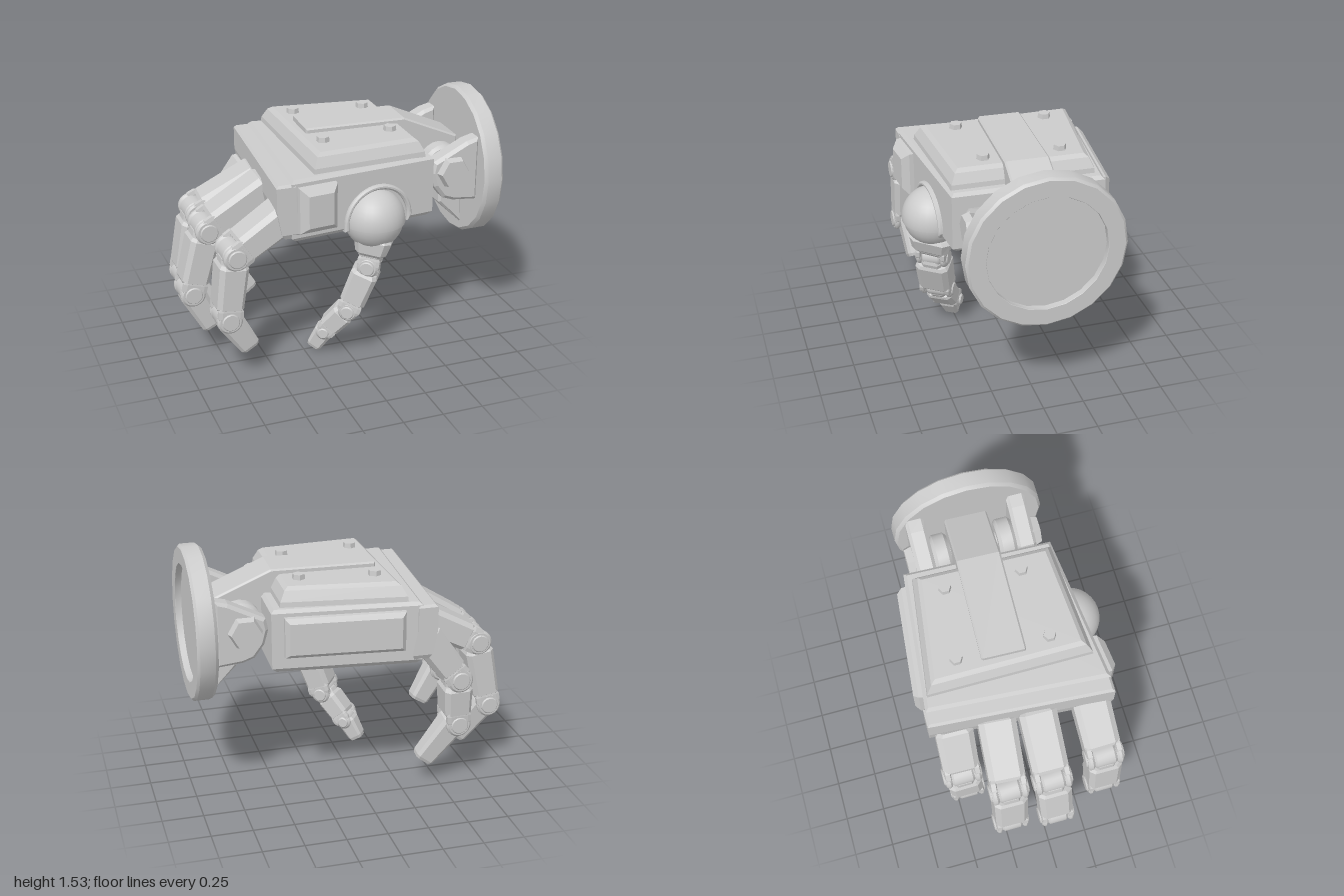
import * as THREE from 'three';
import { toCreasedNormals } from 'three/addons/utils/BufferGeometryUtils.js';

const V = (x, y, z) => new THREE.Vector3(x, y, z);
const flat = new THREE.MeshStandardMaterial({ color: 0xcccccc, flatShading: true });
const smooth = new THREE.MeshStandardMaterial({ color: 0xcccccc });

function add(parent, name, geo, mat = flat, pos) {
  const m = new THREE.Mesh(geo, mat);
  m.name = name;
  if (pos) m.position.copy(pos);
  parent.add(m);
  return m;
}

// Skin over a stack of rings, each counter-clockwise about the stacking direction
function loft(rings) {
  const out = [], n = rings[0].length;
  const tri = (...ps) => ps.forEach(p => out.push(p.x, p.y, p.z));
  for (let k = 0; k < rings.length - 1; k++) {
    const lo = rings[k], up = rings[k + 1];
    for (let i = 0; i < n; i++) {
      const j = (i + 1) % n;
      tri(lo[i], lo[j], up[j]);
      tri(lo[i], up[j], up[i]);
    }
  }
  const top = rings[rings.length - 1], bot = rings[0];
  for (let i = 1; i < n - 1; i++) {
    tri(top[0], top[i], top[i + 1]);
    tri(bot[0], bot[i + 1], bot[i]);
  }
  const g = new THREE.BufferGeometry();
  g.setAttribute('position', new THREE.Float32BufferAttribute(out, 3));
  g.computeVertexNormals();
  return g;
}

// Convex plan of [x, z] corners (counter-clockwise from above) with levels [y, inset, shiftX]
function slab(plan, levels) {
  const n = plan.length;
  const edges = plan.map(([x, z], i) => {
    const [x2, z2] = plan[(i + 1) % n], l = Math.hypot(x2 - x, z2 - z);
    return [(z2 - z) / l, -(x2 - x) / l]; // inward normal
  });
  return loft(levels.map(([y, inset, sx = 0]) => plan.map(([x, z], i) => {
    const a = edges[(i + n - 1) % n], b = edges[i];
    const k = inset / (1 + a[0] * b[0] + a[1] * b[1]);
    return V(x + (a[0] + b[0]) * k + sx, y, z + (a[1] + b[1]) * k);
  })));
}

const rect = (w, h) => [[-w / 2, h / 2], [w / 2, h / 2], [w / 2, -h / 2], [-w / 2, -h / 2]];

// Chamfered bar from a to b, with a side axis and [width, thickness] at each end
function bar(a, b, side, sizeA, sizeB = sizeA, chamfer = 0.15) {
  const d = b.clone().sub(a), len = d.length();
  d.normalize();
  const s = side.clone().addScaledVector(d, -side.dot(d)).normalize();
  const n = d.clone().cross(s), q = 1 - 2 * chamfer, e = 0.02 / len;
  const oct = [[1, -q], [1, q], [q, 1], [-q, 1], [-1, q], [-1, -q], [-q, -1], [q, -1]];
  return loft([[0, 0.86], [e, 1], [1 - e, 1], [1, 0.86]].map(([t, k]) => {
    const w = THREE.MathUtils.lerp(sizeA[0], sizeB[0], t) * k / 2;
    const h = THREE.MathUtils.lerp(sizeA[1], sizeB[1], t) * k / 2;
    return oct.map(([u, v]) => a.clone().addScaledVector(d, t * len)
      .addScaledVector(s, u * w).addScaledVector(n, v * h));
  }));
}

// Round drum with bevelled rims, centred on the origin along y
function drum(r, w, bevel = 0.012, sides = 20) {
  const h = w / 2;
  const p = [[0, -h], [r - bevel, -h], [r, bevel - h], [r, h - bevel], [r - bevel, h], [0, h]];
  return toCreasedNormals(new THREE.LatheGeometry(p.map(a => new THREE.Vector2(...a)), sides), 0.6);
}

function place(parent, name, geo, mat, pos, axis) {
  const m = add(parent, name, geo, mat, pos);
  m.quaternion.setFromUnitVectors(V(0, 1, 0), axis.clone().normalize());
  return m;
}

// Profile in x, y extruded from z0 to z1
function plate(points, z0, z1, bevel = 0.015) {
  const s = new THREE.Shape(points.map(p => new THREE.Vector2(...p)));
  const g = new THREE.ExtrudeGeometry(s, { depth: z1 - z0 - 2 * bevel, bevelThickness: bevel,
    bevelSize: bevel, bevelOffset: -bevel, bevelSegments: 1 });
  return g.translate(0, 0, z0 + bevel);
}

// Hinge: inner barrel, two outer ears and a pin
function joint(parent, c, axis, w, r) {
  const a = axis.clone().normalize();
  place(parent, 'knuckleBarrel', drum(r * 0.95, w * 0.62), smooth, c, a);
  for (const s of [-1, 1])
    place(parent, 'knuckleEar', drum(r, w * 0.18), smooth, c.clone().addScaledVector(a, s * w * 0.41), a);
  place(parent, 'knucklePin', drum(r * 0.7, w + 0.02, 0.006, 16), smooth, c, a);
}

// Jointed digit: points run from the root to the tip
function digit(name, pts, axis, widths, thick, r) {
  const g = new THREE.Group();
  g.name = name;
  const last = pts.length - 2;
  for (let i = 0; i <= last; i++) {
    const a = pts[i], b = pts[i + 1], d = b.clone().sub(a).normalize();
    const w = widths[i], t = thick[i];
    const start = i ? a.clone().addScaledVector(d, r[i - 1] * 0.7) : a;
    if (i) add(g, 'tongue', bar(a, a.clone().lerp(b, 0.5), axis, [w * 0.6, t * 0.85]));
    if (i === last) {
      add(g, 'fingertip', bar(a, b, axis, [w * 0.75, t], [w * 0.58, t * 0.76]));
    } else {
      const end = b.clone().addScaledVector(d, -r[i] * 0.7);
      add(g, 'segment', bar(start, end, axis, [w, t], [w * 0.97, t * 0.92]));
      for (const s of [-1, 1]) {
        const o = axis.clone().normalize().multiplyScalar(s * w * 0.4);
        add(g, 'fork', bar(end.clone().addScaledVector(d, -0.03).add(o), b.clone().add(o), axis,
          [w * 0.18, t * 0.85]));
      }
      joint(g, b, axis, w * 0.97, r[i]);
    }
  }
  return g;
}

export function createModel() {
  const hand = new THREE.Group();
  hand.name = 'mechanicalHand';

  // Palm, knuckle collar and top cover
  add(hand, 'palm', slab([[-0.41, 0.52], [0.53, 0.42], [0.56, -0.5], [-0.33, -0.59]],
    [[0.87, 0.03], [0.9, 0], [1.24, 0], [1.26, 0.02]]));
  add(hand, 'knuckleCollar', slab([[-0.5, 0.52], [-0.38, 0.52], [-0.3, -0.6], [-0.42, -0.6]],
    [[0.9, 0.015, 0.035], [0.93, 0, 0.03], [1.08, 0], [1.225, 0], [1.24, 0.015]]));
  add(hand, 'topCover', slab([[-0.25, 0.46], [0.48, 0.41], [0.5, -0.46], [-0.25, -0.56]],
    [[1.25, 0], [1.29, 0.005], [1.35, 0.035], [1.37, 0.06]]));
  add(hand, 'undersidePlate', slab([[-0.32, 0.4], [-0.1, 0.38], [-0.1, -0.45], [-0.27, -0.47]],
    [[0.855, 0.015], [0.9, 0]]));

  // Raised side panels
  const frontPanel = slab(rect(0.25, 0.29), [[-0.02, 0], [0.03, 0.004], [0.07, 0.045]]).rotateX(Math.PI / 2);
  add(hand, 'frontPanel', frontPanel, flat, V(-0.25, 1.075, 0.5)).rotation.y = 0.106;
  const backPanel = slab(rect(0.72, 0.25), [[-0.02, 0], [0.03, 0.004], [0.06, 0.03]]).rotateX(-Math.PI / 2);
  add(hand, 'backPanel', backPanel, flat, V(0.13, 1.095, -0.54)).rotation.y = -0.1;

  // Cover bolts
  for (const [x, z] of [[-0.105, -0.34], [0.345, -0.29], [-0.11, 0.225], [0.34, 0.18]])
    add(hand, 'coverBolt', new THREE.CylinderGeometry(0.037, 0.042, 0.04, 6), flat, V(x, 1.38, z));

  // Spine strip running down into the wrist hinge
  add(hand, 'spine', plate([[-0.16, 1.34], [0.45, 0.96], [0.66, 0.96], [0.8, 1.0], [0.84, 1.1],
    [0.84, 1.245], [0.48, 1.4], [-0.16, 1.4]], -0.195, 0.075, 0.01)).rotation.y = -0.03;

  // Wrist hinge
  const wristZ = -0.03;
  const lug = [[0.87, 1.31], [0.79, 1.29], [0.57, 1.18], [0.555, 1.11], [0.58, 1.02], [0.64, 0.94],
    [0.71, 0.915], [0.87, 0.9]].reverse();
  for (const s of [-1, 1]) {
    place(hand, 'hingeRoller', drum(0.13, 0.11, 0.02), smooth, V(0.69, 1.11, wristZ + s * 0.205), V(0, 0, 1));
    const z = wristZ + s * 0.32;
    add(hand, 'wristLug', plate(lug, z - 0.06, z + 0.06, 0.02));
    place(hand, 'wristBolt', new THREE.CylinderGeometry(s > 0 ? 0.09 : 0.11, s > 0 ? 0.11 : 0.09, 0.06, 6)
      .rotateY(Math.PI / 6), flat, V(0.695, 1.11, wristZ + s * 0.395), V(0, 0, 1));
  }
  place(hand, 'wristAxle', drum(0.06, 0.7), smooth, V(0.69, 1.11, wristZ), V(0, 0, 1));
  add(hand, 'wristWedge', plate([[0.71, 0.82], [0.87, 0.66], [0.87, 0.92], [0.71, 0.92]], -0.2, 0.14));

  // Dished wrist disc
  const rim = [[0, 0.865], [0.46, 0.865], [0.477, 0.885], [0.477, 0.975], [0.462, 0.99], [0.362, 0.99],
    [0.36, 0.988], [0.36, 0.95], [0, 0.95]].map(p => new THREE.Vector2(...p));
  const disc = toCreasedNormals(new THREE.LatheGeometry(rim, 20).rotateZ(-Math.PI / 2), 0.5);
  add(hand, 'wristDisc', disc, smooth, V(0, 1.055, -0.012));

  // Thumb ball in its arched socket
  const ball = V(0.135, 0.92, 0.44);
  add(hand, 'thumbBall', new THREE.SphereGeometry(0.18, 28, 18), smooth, ball);
  add(hand, 'thumbBallCap', new THREE.SphereGeometry(0.19, 28, 10, 0, Math.PI * 2, 0, Math.PI / 2 + 0.08),
    new THREE.MeshStandardMaterial({ color: 0xcccccc, side: THREE.DoubleSide }), ball);
  const arch = new THREE.Shape();
  arch.moveTo(0.225, -0.04).absarc(0, 0, 0.225, 0, Math.PI).lineTo(-0.225, -0.04);
  arch.lineTo(-0.195, -0.04).absarc(0, 0, 0.195, Math.PI, 0, true).lineTo(0.195, -0.04);
  const archGeo = toCreasedNormals(new THREE.ExtrudeGeometry(arch,
    { depth: 0.18, bevelSize: 0.01, bevelThickness: 0.01, bevelOffset: -0.01, bevelSegments: 1, curveSegments: 20 }), 0.4);
  add(hand, 'thumbSocket', archGeo, smooth, V(ball.x, ball.y, 0.295)).rotation.y = 0.1;

  // Thumb
  const hinge = V(-0.55, 0, 0.83);
  add(hand, 'thumbCup', bar(V(0.15, 0.82, 0.44), V(0.13, 0.7, 0.44), hinge, [0.27, 0.24], [0.23, 0.18]));
  hand.add(digit('thumb', [V(0.14, 0.76, 0.44), V(0.115, 0.63, 0.44), V(0.01, 0.33, 0.39),
    V(-0.115, 0.15, 0.29), V(-0.18, 0.02, 0.245)], hinge,
    [0.2, 0.21, 0.17, 0.16], [0.16, 0.17, 0.14, 0.12], [0.065, 0.06, 0.05]));

  // Fingers: root, two knuckles, tip
  const fingers = {
    indexFinger: [[-0.42, 1.02, 0.39], [-0.74, 0.82, 0.4], [-0.79, 0.415, 0.4], [-0.645, 0.18, 0.39]],
    middleFinger: [[-0.42, 1.08, 0.055], [-0.81, 0.85, 0.05], [-0.92, 0.45, 0.055], [-0.79, 0.185, 0.06]],
    ringFinger: [[-0.4, 1.05, -0.19], [-0.8, 0.85, -0.22], [-0.88, 0.42, -0.23], [-0.7, 0.175, -0.19]],
    littleFinger: [[-0.37, 1.02, -0.45], [-0.59, 0.72, -0.46], [-0.6, 0.41, -0.44], [-0.405, 0.15, -0.41]],
  };
  for (const [name, pts] of Object.entries(fingers))
    hand.add(digit(name, pts.map(p => V(...p)), V(0, 0, 1), [0.23, 0.21, 0.18], [0.19, 0.18, 0.165], [0.08, 0.078]));

  return hand;
}
